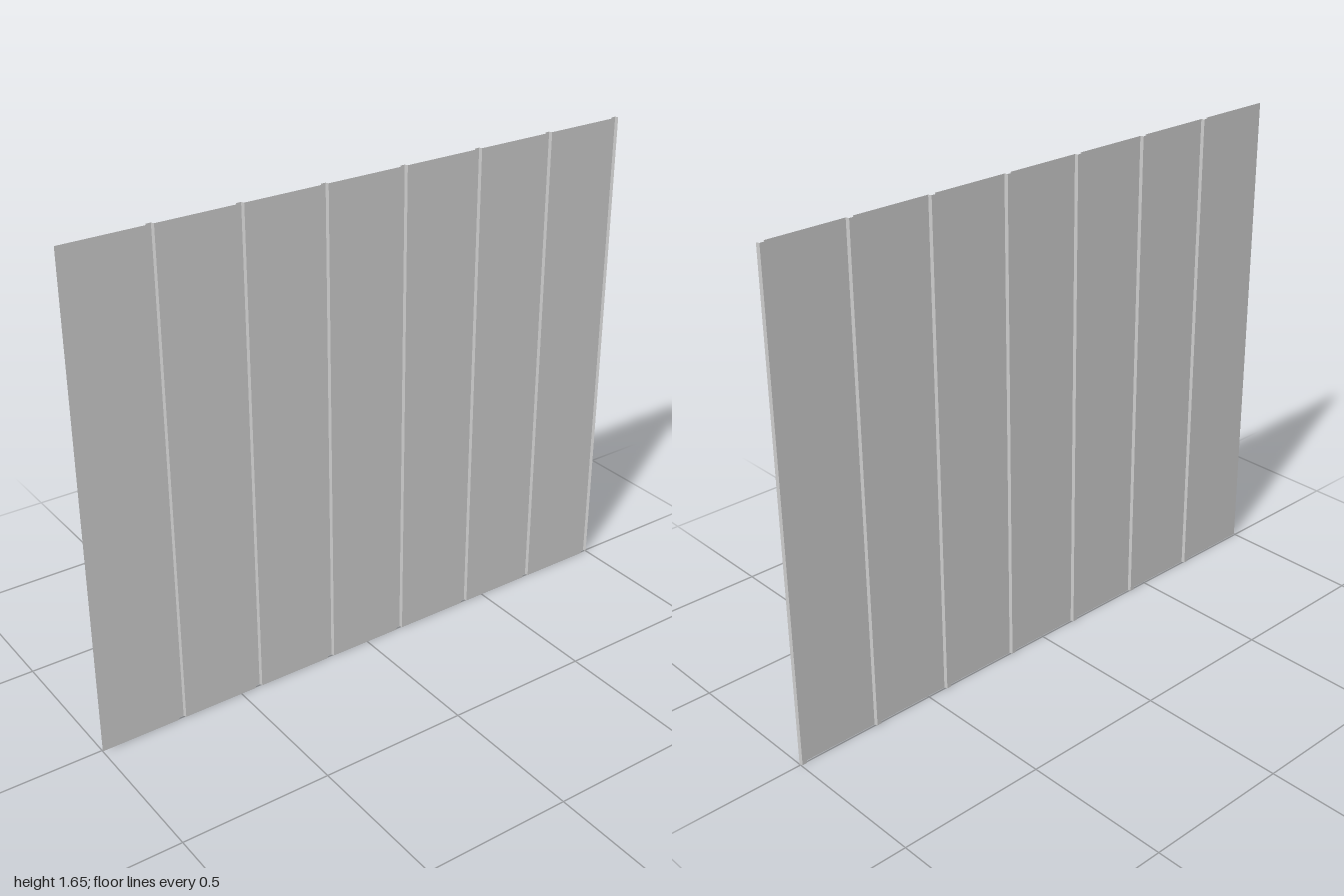
import * as THREE from 'three';

const HEIGHT = 1.655, DEPTH = 0.005;
const RIBS = 7, PITCH = 0.2843, LAST_RIB = 0.988;
const BASE = 0.012, CAP = 0.008; // half widths of a rib at its foot and crest

// Sweeps an open [x, z] profile straight up as a thin folded sheet
function foldedSheet(profile) {
  const pos = [];
  for (let i = 0; i < profile.length - 1; i++) {
    const [ax, az] = profile[i], [bx, bz] = profile[i + 1];
    pos.push(ax, 0, az, bx, 0, bz, bx, HEIGHT, bz);
    pos.push(ax, 0, az, bx, HEIGHT, bz, ax, HEIGHT, az);
  }
  const geometry = new THREE.BufferGeometry();
  geometry.setAttribute('position', new THREE.Float32BufferAttribute(pos, 3));
  geometry.computeVertexNormals();
  return geometry;
}

export function createModel() {
  const group = new THREE.Group();
  group.name = 'ribbedWallPanel';
  const material = new THREE.MeshStandardMaterial({
    color: 0xcccccc, flatShading: true, side: THREE.DoubleSide,
  });

  // Flat pans with small trapezoid ribs pressed towards the back
  const profile = [[-1, DEPTH]];
  for (let i = 0; i < RIBS; i++) {
    const x = LAST_RIB - (RIBS - 1 - i) * PITCH;
    profile.push([x - BASE, DEPTH], [x - CAP, -DEPTH], [x + CAP, -DEPTH], [x + BASE, DEPTH]);
  }

  const sheet = new THREE.Mesh(foldedSheet(profile), material);
  sheet.name = 'ribbedSheet';
  group.add(sheet);
  return group;
}
